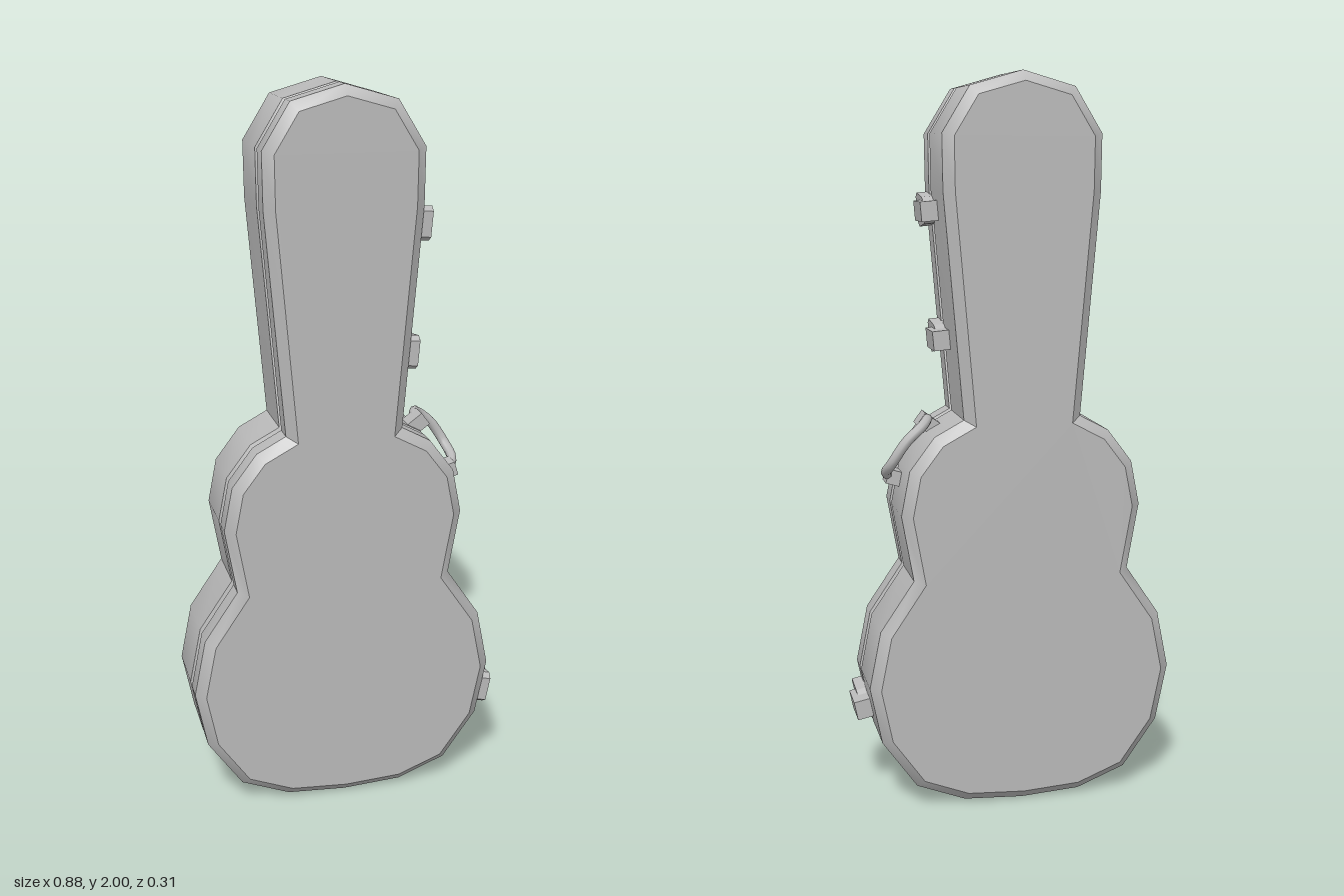
import * as THREE from 'three';
import { toCreasedNormals } from 'three/addons/utils/BufferGeometryUtils.js';

const CENTRE = -0.016;
// half widths and heights of the case outline, from top to bottom
const HALF = [
  [0, 2], [0.141, 1.96], [0.215, 1.84], [0.213, 1.69], [0.161, 1.09],
  [0.241, 1.047], [0.309, 0.957], [0.333, 0.835], [0.301, 0.654], [0.394, 0.517],
  [0.426, 0.358], [0.394, 0.2], [0.299, 0.066], [0.164, 0.013], [0, 0.003],
];
const OUTLINE = [
  ...HALF.map(([w, y]) => new THREE.Vector2(CENTRE - w, y)),
  ...HALF.slice(1, -1).reverse().map(([w, y]) => new THREE.Vector2(CENTRE + w, y)),
];

// outline moved inwards by d, with mitred corners
function inset(d) {
  const n = OUTLINE.length;
  const normal = (a, b) => new THREE.Vector2(b.y - a.y, a.x - b.x).normalize();
  return OUTLINE.map((p, i) => {
    const n0 = normal(OUTLINE[(i + n - 1) % n], p);
    const n1 = normal(p, OUTLINE[(i + 1) % n]);
    return p.clone().addScaledVector(n0.clone().add(n1), -d / (1 + n0.dot(n1)));
  });
}

// closed shell through layers of [z, inset], back to front
function shell(layers) {
  const rings = layers.map(([z, d]) => inset(d).map(p => [p.x, p.y, z]));
  const pos = [];
  const tri = (a, b, c) => pos.push(...a, ...b, ...c);
  for (let k = 0; k < rings.length - 1; k++) {
    const lo = rings[k], hi = rings[k + 1];
    lo.forEach((a, i) => {
      const j = (i + 1) % lo.length;
      tri(a, lo[j], hi[j]);
      tri(a, hi[j], hi[i]);
    });
  }
  const first = rings[0], last = rings[rings.length - 1];
  const flat = r => r.map(p => new THREE.Vector2(p[0], p[1]));
  THREE.ShapeUtils.triangulateShape(flat(last), []).forEach(([a, b, c]) => tri(last[a], last[b], last[c]));
  THREE.ShapeUtils.triangulateShape(flat(first), []).forEach(([a, b, c]) => tri(first[a], first[c], first[b]));
  const geo = new THREE.BufferGeometry();
  geo.setAttribute('position', new THREE.Float32BufferAttribute(pos, 3));
  return toCreasedNormals(geo, 0.76);
}

export function createModel() {
  const model = new THREE.Group();
  model.name = 'instrumentCase';
  const grey = new THREE.MeshStandardMaterial({ color: 0xbababa });
  grey.name = 'grey';
  const add = (parent, name, geo) => {
    const mesh = new THREE.Mesh(geo, grey);
    mesh.name = name;
    parent.add(mesh);
    return mesh;
  };

  // two halves meeting in a V-shaped groove
  add(model, 'caseBody', shell([[-0.157, 0.027], [-0.13, 0], [0.038, 0], [0.051, 0.028]]));
  add(model, 'caseLid', shell([[0.051, 0.028], [0.064, 0], [0.122, 0], [0.148, 0.027]]));

  // latches: tapered hook plate with a lever box, local x pointing away from the wall
  const hook = new THREE.Shape([
    [-0.118, -0.034], [-0.1, -0.046], [-0.03, -0.036], [-0.012, -0.026],
    [-0.012, 0.026], [-0.03, 0.036], [-0.1, 0.046], [-0.118, 0.034],
  ].map(p => new THREE.Vector2(...p)));
  const hookGeo = new THREE.ExtrudeGeometry(hook, { depth: 0.032, bevelEnabled: false });
  hookGeo.rotateY(Math.PI / 2).translate(-0.004, 0, 0);
  const leverGeo = new THREE.BoxGeometry(0.05, 0.053, 0.1).translate(0.02, 0, 0.015);
  [[0.193, 1.64, -0.087], [0.163, 1.295, -0.087], [0.392, 0.27, -0.2]].forEach(([x, y, tilt]) => {
    const latch = new THREE.Group();
    latch.name = 'latch';
    latch.position.set(x, y, 0);
    latch.rotation.z = tilt;
    add(latch, 'latchHook', hookGeo);
    add(latch, 'latchLever', leverGeo);
    model.add(latch);
  });

  // carrying handle on the left shoulder
  const handle = new THREE.Group();
  handle.name = 'handle';
  const path = new THREE.CatmullRomCurve3([
    [0.225, 1.072, 0], [0.227, 1.08, -0.035], [0.248, 1.07, -0.08], [0.295, 1.03, -0.093],
    [0.333, 0.97, -0.08], [0.342, 0.938, -0.035], [0.325, 0.922, 0],
  ].map(p => new THREE.Vector3(...p)));
  add(handle, 'handleGrip', new THREE.TubeGeometry(path, 20, 0.014, 8));
  [[0.222, 1.065, 0.64], [0.312, 0.918, 0.3]].forEach(([x, y, tilt]) => {
    const post = add(handle, 'handlePost', new THREE.BoxGeometry(0.05, 0.04, 0.055));
    post.position.set(x, y, 0);
    post.rotation.z = tilt;
  });
  model.add(handle);

  return model;
}
